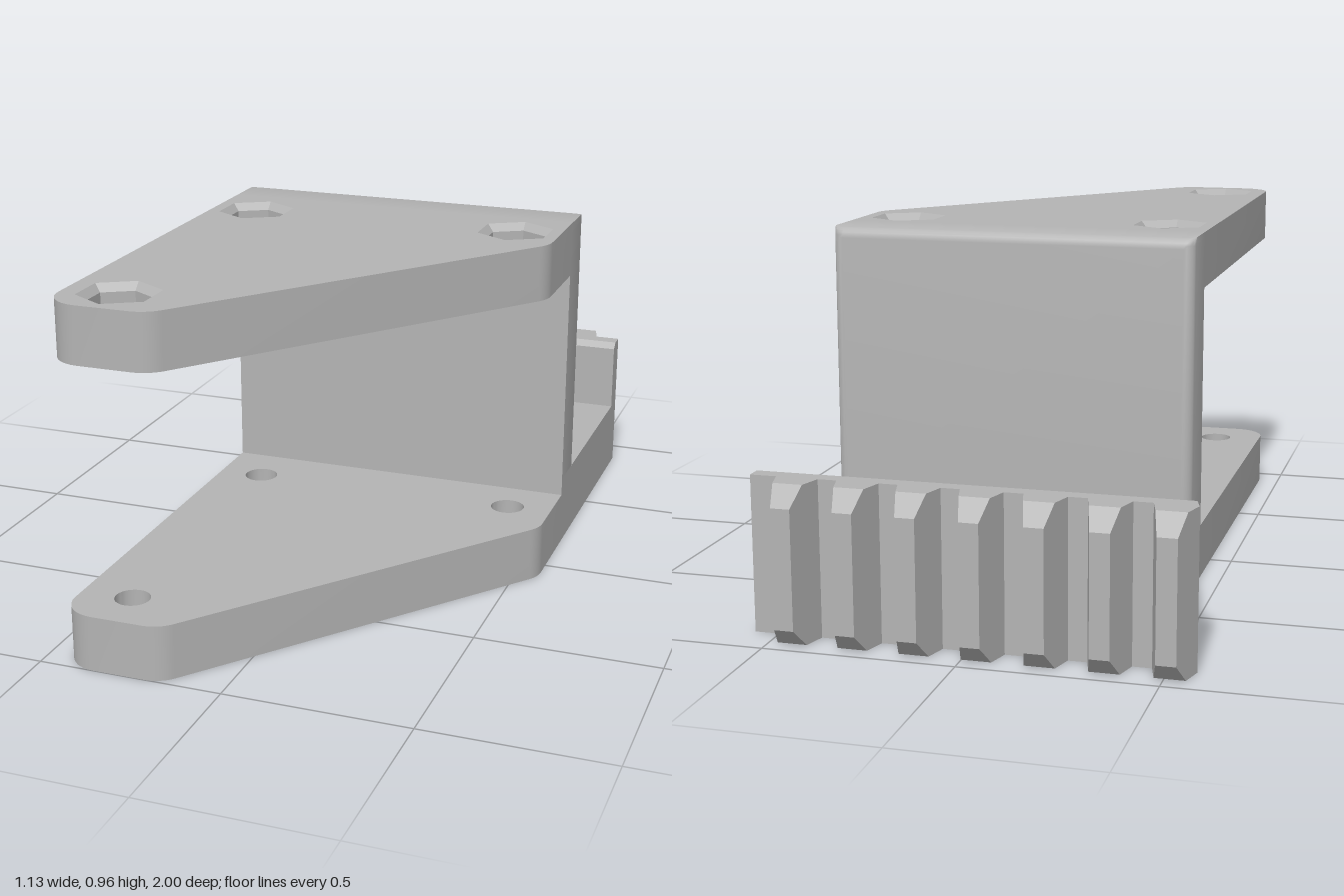
import * as THREE from 'three';
import { mergeGeometries, toCreasedNormals } from 'three/addons/utils/BufferGeometryUtils.js';

const SIDES = 36;

// Ring of [x, z] points around a centre, one corner towards +z.
function ring(cx, cz, r, n = SIDES) {
  return Array.from({ length: n }, (_, i) => {
    const a = (i / n) * Math.PI * 2;
    return [cx + r * Math.sin(a), cz + r * Math.cos(a)];
  });
}

// Polygon of [x, z, radius] corners, rounded by true arcs.
function rounded(corners) {
  const out = [];
  corners.forEach(([x, z, r], i) => {
    if (!r) return out.push([x, z]);
    const p = new THREE.Vector2(x, z), n = corners.length;
    const a = new THREE.Vector2(...corners[(i + n - 1) % n]).sub(p).normalize();
    const b = new THREE.Vector2(...corners[(i + 1) % n]).sub(p).normalize();
    const half = Math.acos(a.dot(b)) / 2;
    const c = p.clone().add(a.clone().add(b).normalize().multiplyScalar(r / Math.sin(half)));
    const start = p.clone().addScaledVector(a, r / Math.tan(half)).sub(c);
    const end = p.clone().addScaledVector(b, r / Math.tan(half)).sub(c);
    const sweep = Math.sign(start.cross(end)) * (Math.PI - 2 * half);
    for (let k = 0; k <= 8; k++) {
      const v = start.clone().rotateAround(new THREE.Vector2(), (sweep * k) / 8).add(c);
      out.push([v.x, v.y]);
    }
  });
  return out;
}

// Side surface through [ring, y] levels from bottom to top; inward for holes.
function loft(levels, inward = false) {
  const first = levels[0][0];
  let area = 0;
  first.forEach(([x, z], i) => {
    const [x2, z2] = first[(i + 1) % first.length];
    area += x2 * z - x * z2;
  });
  const flip = (area < 0) !== inward;
  const pos = [];
  for (let l = 0; l + 1 < levels.length; l++) {
    const [lo, y0] = levels[l], [hi, y1] = levels[l + 1];
    for (let i = 0; i < lo.length; i++) {
      const j = (i + 1) % lo.length;
      const [s, e] = flip ? [j, i] : [i, j];
      const a = [lo[s][0], y0, lo[s][1]], b = [lo[e][0], y0, lo[e][1]];
      const c = [hi[e][0], y1, hi[e][1]], d = [hi[s][0], y1, hi[s][1]];
      pos.push(...a, ...b, ...c, ...a, ...c, ...d);
    }
  }
  const g = new THREE.BufferGeometry();
  g.setAttribute('position', new THREE.Float32BufferAttribute(pos, 3));
  return g;
}

// Flat face at height y, facing up or down, with holes.
function cap(outline, y, up, holes = []) {
  const s = up ? -1 : 1;
  const pts = (r) => r.map(([x, z]) => new THREE.Vector2(x, s * z));
  const shape = new THREE.Shape(pts(outline));
  shape.holes = holes.map((h) => new THREE.Path(pts(h)));
  const g = new THREE.ShapeGeometry(shape).rotateX((s * Math.PI) / 2).translate(0, y, 0).toNonIndexed();
  g.deleteAttribute('normal');
  g.deleteAttribute('uv');
  return g;
}

// Closed solid from levels.
const solid = (levels) => [
  loft(levels),
  cap(...levels[0], false),
  cap(...levels[levels.length - 1], true),
];

const BORE = 0.047;
const mountHoles = [[-0.315, -0.02], [0.44, -0.035], [-0.3, 0.865]];
const rearHoles = [[0.06, -0.765], [0.315, -0.765], [0.06, -0.385], [0.315, -0.385]];
const circles = (list, r, n) => list.map(([x, z]) => ring(x, z, r, n));

// Counterbored hole: [radius, y] profile from the underside up.
const bore = ([x, z], profile) => loft(profile.map(([r, y]) => [ring(x, z, r), y]), true);
const counterbore = [[0.105, 0], [0.085, 0.02], [0.085, 0.09], [BORE, 0.09]];

export function createModel() {
  const group = new THREE.Group();
  const material = new THREE.MeshStandardMaterial({ color: 0xb4b4b4 });
  material.name = 'light grey';
  const add = (name, parts) => {
    const mesh = new THREE.Mesh(toCreasedNormals(mergeGeometries(parts), 0.5), material);
    mesh.name = name;
    group.add(mesh);
  };

  const plate = rounded([
    [-0.44, -0.17, 0], [-0.44, 1, 0.09], [-0.165, 1, 0.09], [0.565, 0.08, 0.09], [0.565, -0.17, 0],
  ]);

  // Upper plate with hexagonal nut pockets
  add('upperPlate', [
    loft([[plate, 0.81], [plate, 0.96]]),
    cap(plate, 0.81, false, circles(mountHoles, BORE)),
    cap(plate, 0.96, true, circles(mountHoles, 0.106, 6)),
    ...mountHoles.flatMap(([x, z]) => {
      const hex = ring(x, z, 0.086, 6);
      return [
        loft([[hex, 0.87], [hex, 0.94], [ring(x, z, 0.106, 6), 0.96]], true),
        cap(hex, 0.87, true, [ring(x, z, 0.06)]),
        bore([x, z], [[BORE, 0.81], [BORE, 0.857], [0.06, 0.87]]),
      ];
    }),
  ]);

  // Lower plate with counterbores and a shallow square recess underneath
  const square = [[-0.17, -0.155], [-0.17, 0.327], [0.31, 0.327], [0.31, -0.155]];
  add('lowerPlate', [
    loft([[plate, 0], [plate, 0.15]]),
    cap(plate, 0.15, true, circles(mountHoles, BORE)),
    cap(plate, 0, false, [...circles(mountHoles, 0.105), square]),
    loft([[square, 0], [square, 0.01]], true),
    cap(square, 0.01, false),
    ...mountHoles.map((h) => bore(h, [...counterbore, [BORE, 0.15]])),
  ]);

  // Upright wall, rounded along its rear edges
  const wallRing = (depth) => {
    const pts = [[-0.44, -0.17], [0.565, -0.17]];
    for (const [x, from] of [[0.535, 0], [-0.41, 6]]) {
      for (let k = 0; k <= 6; k++) {
        const a = ((from + k) / 12) * Math.PI;
        pts.push([x + 0.03 * Math.cos(a), -0.28 - depth * Math.sin(a)]);
      }
    }
    return pts;
  };
  const wallLevels = [[wallRing(0.03), 0.2]];
  for (let k = 0; k <= 6; k++) {
    const a = (k / 12) * Math.PI;
    wallLevels.push([wallRing(0.03 * Math.cos(a)), 0.93 + 0.03 * Math.sin(a)]);
  }
  add('wall', solid(wallLevels));

  // Rear foot with four screw holes
  const foot = [[-0.44, -0.17], [0.565, -0.17], [0.565, -0.89], [-0.568, -0.89], [-0.44, -0.31]];
  add('rearFoot', [
    loft([[foot, 0], [foot, 0.2]]),
    cap(foot, 0, false, circles(rearHoles, 0.105)),
    cap(foot, 0.2, true, circles(rearHoles, 0.062)),
    ...rearHoles.map((h) => bore(h, [...counterbore, [BORE, 0.185], [0.062, 0.2]])),
  ]);

  // Raised bar behind the teeth
  const bar = (z) => [[-0.555, z], [0.565, z], [0.565, -0.89], [-0.568, -0.89]];
  add('rackBar', solid([[bar(-0.83), 0.2], [bar(-0.83), 0.393], [bar(-0.848), 0.41]]));

  // Rack teeth, chamfered at both ends
  const tooth = (x, half, z) => [[x - 0.055, -0.89], [x + 0.055, -0.89], [x + half, z], [x - half, z]];
  for (let i = 0; i < 7; i++) {
    const x = -0.514 + i * 0.159;
    const short = tooth(x, 0.0387, -0.95), full = tooth(x, 0.025, -1);
    add(`rackTooth${i + 1}`, solid([[short, 0], [full, 0.05], [full, 0.36], [short, 0.41]]));
  }
  return group;
}
